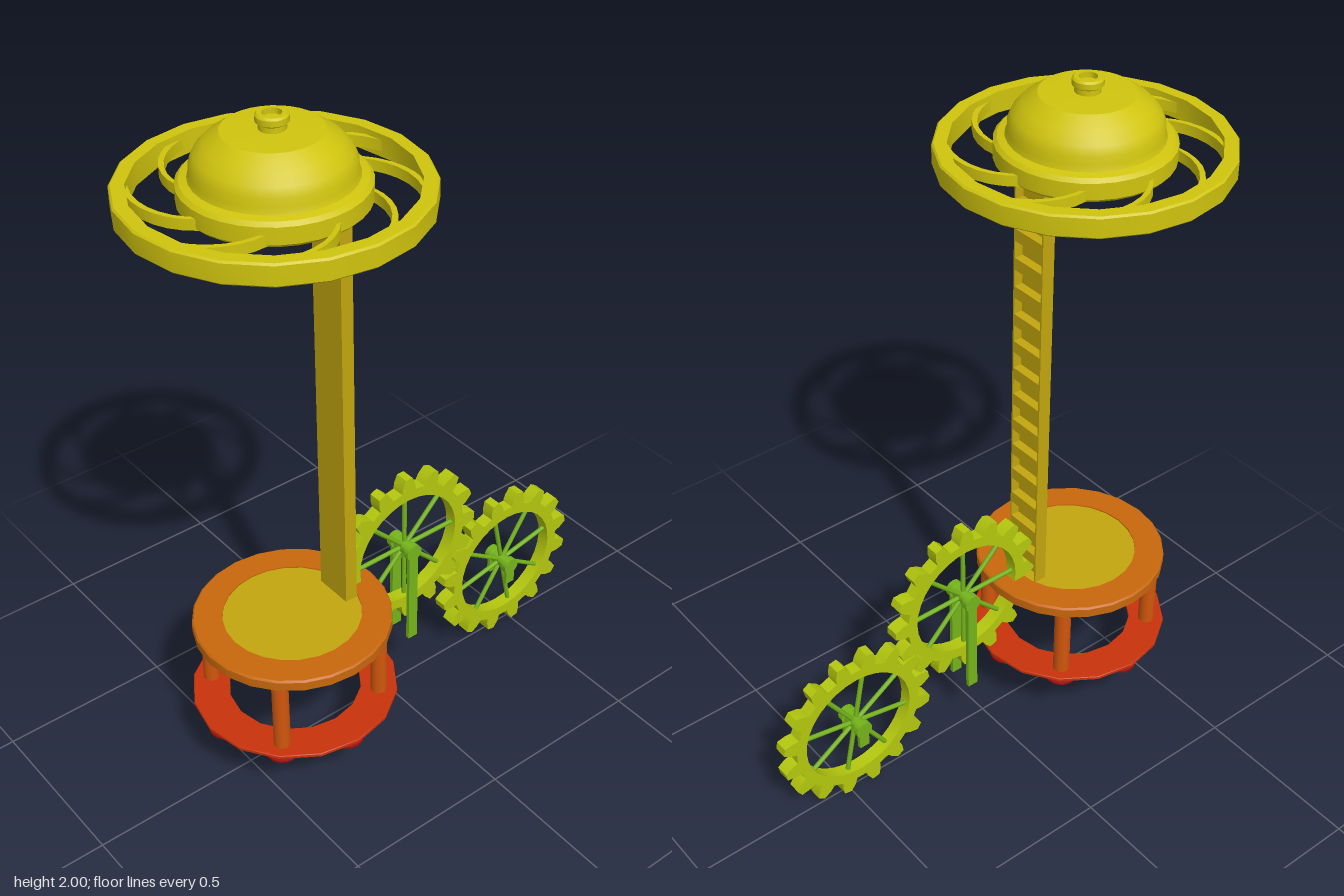
import * as THREE from 'three';
import { toCreasedNormals } from 'three/addons/utils/BufferGeometryUtils.js';

const mat = (color) => new THREE.MeshStandardMaterial({ color });
const RED = mat(0x9c0c0c), VERMILION = mat(0xc8320a), ORANGE = mat(0xd0560c), AMBER = mat(0xc8680c),
  GOLD = mat(0xc2a60e), YELLOW = mat(0xd0c40e), LIME = mat(0xb4c80e), GREEN = mat(0x74b41a);
const AXIS = -0.333; // x of the table and top wheel

function add(parent, name, geo, material, x = 0, y = 0, z = 0) {
  const m = new THREE.Mesh(geo, material);
  m.name = name;
  m.position.set(x, y, z);
  parent.add(m);
  return m;
}

function group(parent, name, x = 0, y = 0, z = 0) {
  const g = new THREE.Group();
  g.name = name;
  g.position.set(x, y, z);
  parent.add(g);
  return g;
}

// Lathe with crisp edges; profile runs bottom to top along the outside
function lathe(points, segments) {
  const geo = new THREE.LatheGeometry(points.map(([r, y]) => new THREE.Vector2(r, y)), segments);
  return toCreasedNormals(geo, 0.5);
}

// Flat ring with slightly bevelled outer edges
function ring(inner, outer, y0, y1, segments, b = 0.005) {
  return lathe([[inner, y0], [outer - b, y0], [outer, y0 + b], [outer, y1 - b],
    [outer - b, y1], [inner, y1], [inner, y0]], segments);
}

const polar = (r, a) => new THREE.Vector2(r * Math.cos(a), r * Math.sin(a));

function buildTable(root) {
  const g = group(root, 'table', AXIS);
  add(g, 'tableRim', ring(0.195, 0.28, 0.445, 0.482, 24), AMBER);
  add(g, 'tableCentre', new THREE.CylinderGeometry(0.196, 0.196, 0.028, 24), GOLD, 0, 0.464);
  add(g, 'baseRing', ring(0.19, 0.295, 0.204, 0.216, 16, 0.002), VERMILION);
  const foot = lathe([[0, 0.186], [0.048, 0.186], [0.048, 0.192], [0.038, 0.194], [0.038, 0.205]], 16);
  const leg = new THREE.CylinderGeometry(0.024, 0.024, 0.235, 16);
  for (let i = 0; i < 8; i++) {
    const p = polar(0.242, (i * Math.PI) / 4);
    add(g, 'foot', foot, RED, p.x, 0, p.y);
    if (i % 2) add(g, 'leg', leg, ORANGE, p.x, 0.331, p.y);
  }
}

// Upright rack: solid back, thin side walls, rungs between
function buildRack(root) {
  const g = group(root, 'rackColumn', -0.169);
  const bottom = 0.475, top = 1.785, h = top - bottom, mid = (top + bottom) / 2;
  add(g, 'rackBack', new THREE.BoxGeometry(0.012, h, 0.116), GOLD, -0.013, mid);
  for (const s of [-1, 1]) add(g, 'rackSide', new THREE.BoxGeometry(0.038, h, 0.005), GOLD, 0, mid, s * 0.0555);
  const rung = new THREE.BoxGeometry(0.026, 0.036, 0.107);
  for (let y = top - 0.018; y > bottom + 0.017; y -= 0.0864) add(g, 'rackRung', rung, GOLD, 0.006, y);
}

// Swept spoke: a curved bar spiralling inward from rim to hub
function sweptSpoke() {
  const outer = [], inner = [];
  for (let i = 0; i <= 8; i++) {
    const t = i / 8, r = 0.362 - 0.05 * t - 0.09 * t * t, a = t * 0.87;
    outer.push(polar(r + 0.007, a));
    inner.unshift(polar(r - 0.009, a));
  }
  const geo = new THREE.ExtrudeGeometry(new THREE.Shape([...outer, ...inner]), { depth: 0.03, bevelEnabled: false });
  return toCreasedNormals(geo.rotateX(-Math.PI / 2), 0.5);
}

function buildTopWheel(root) {
  const g = group(root, 'topWheel', AXIS);
  add(g, 'wheelRim', ring(0.35, 0.389, 1.765, 1.826, 20), YELLOW);
  const spoke = sweptSpoke();
  for (let i = 0; i < 8; i++) add(g, 'wheelSpoke', spoke, YELLOW, 0, 1.78).rotation.y = (i * Math.PI) / 4;
  add(g, 'dome', lathe([[0, 1.775], [0.225, 1.775], [0.235, 1.785], [0.235, 1.83], [0.225, 1.84],
    [0.205, 1.845], [0.2, 1.86], [0.199, 1.882], [0.188, 1.905], [0.165, 1.93], [0.125, 1.958], [0, 1.962]], 32), YELLOW);
  add(g, 'topKnob', lathe([[0.034, 1.95], [0.034, 1.975], [0.041, 1.98], [0.041, 1.995],
    [0.036, 2], [0.024, 2], [0.024, 1.985], [0, 1.985]], 20), YELLOW);
  add(g, 'bottomSpool', lathe([[0, 1.75], [0.03, 1.75], [0.03, 1.73], [0.042, 1.73], [0.042, 1.745],
    [0.055, 1.75], [0.055, 1.76], [0.045, 1.765], [0.045, 1.78]], 20), YELLOW);
}

// Toothed wheel with tapered teeth, thin spokes, spool hub and twin posts
function buildGear(root, name, x, y, phase) {
  const g = group(root, name, x, y);
  const wheel = group(g, 'gearWheel');
  wheel.rotation.z = phase;
  const n = 16, step = (2 * Math.PI) / n, pts = [];
  for (let i = 0; i < n; i++) {
    for (const [r, f] of [[0.21, -0.3], [0.229, -0.25], [0.253, -0.12], [0.253, 0.12], [0.229, 0.25], [0.21, 0.3]]) {
      pts.push(polar(r, (i + f) * step));
    }
  }
  const shape = new THREE.Shape(pts);
  shape.holes.push(new THREE.Path().absarc(0, 0, 0.178, 0, 2 * Math.PI, true));
  const rim = new THREE.ExtrudeGeometry(shape, { depth: 0.04, bevelEnabled: false, curveSegments: 16 });
  add(wheel, 'gearRim', toCreasedNormals(rim, 0.5), LIME, 0, 0, -0.02);
  const spoke = new THREE.CylinderGeometry(0.007, 0.007, 0.165, 8).translate(0, 0.1, 0);
  for (let i = 0; i < 8; i++) add(wheel, 'gearSpoke', spoke, GREEN).rotation.z = (i * Math.PI) / 4;
  const hub = lathe([[0, -0.047], [0.026, -0.047], [0.026, -0.028], [0.02, -0.025], [0.02, 0.025],
    [0.026, 0.028], [0.026, 0.047], [0, 0.047]], 16).rotateX(Math.PI / 2);
  add(wheel, 'gearHub', hub, GREEN);
  const h = y - 0.188;
  for (const s of [-1, 1]) add(g, 'gearPost', new THREE.BoxGeometry(0.032, h, 0.012), GREEN, 0, -h / 2, s * 0.038);
}

export function createModel() {
  const root = new THREE.Group();
  root.name = 'gearTower';
  buildTable(root);
  buildRack(root);
  buildTopWheel(root);
  buildGear(root, 'upperGear', 0.071, 0.511, 0);
  buildGear(root, 'lowerGear', 0.463, 0.253, 0.2);
  return root;
}
